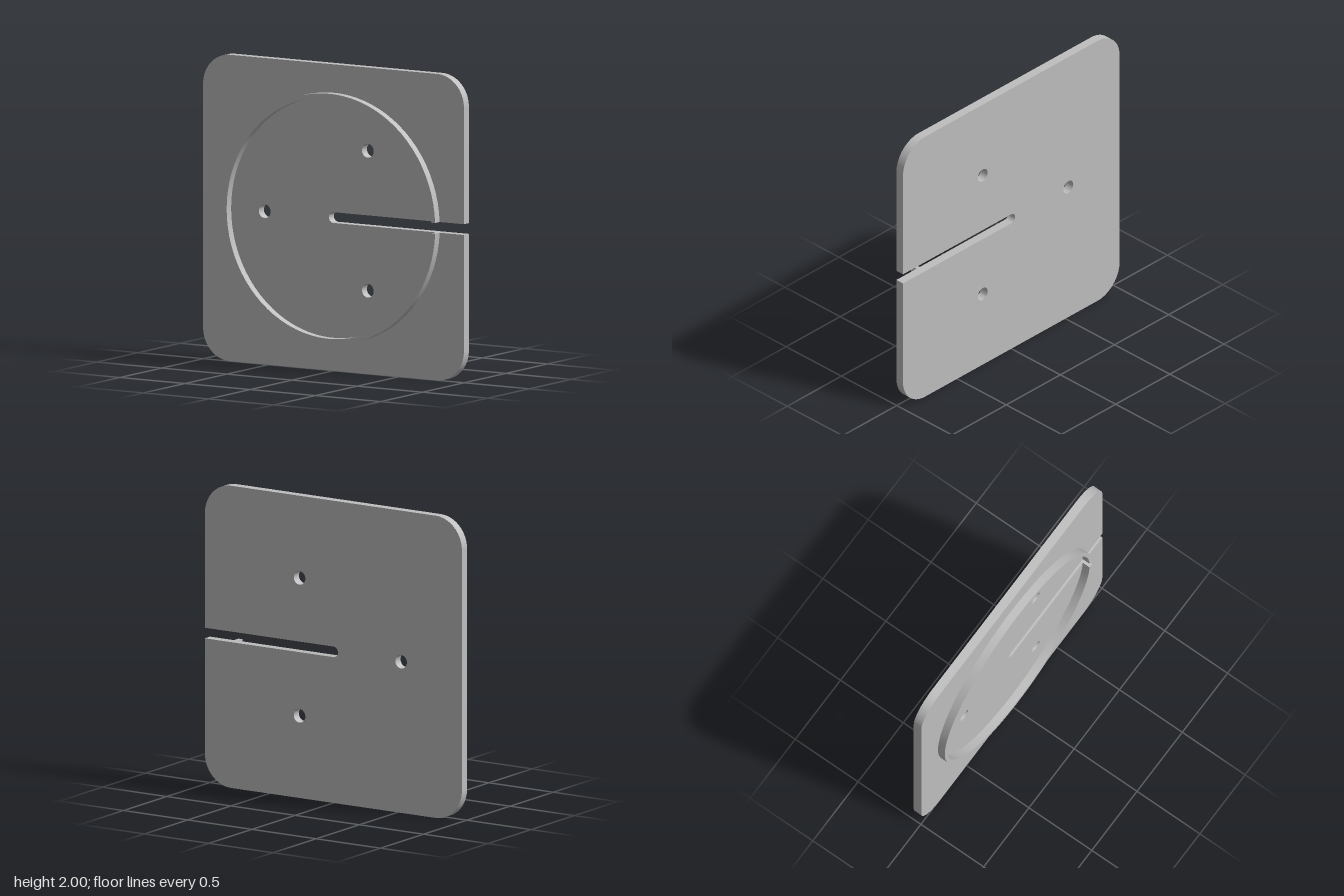
import * as THREE from 'three';
import { toCreasedNormals } from 'three/addons/utils/BufferGeometryUtils.js';

const BACK = -0.057, FACE = 0.003, FRONT = 0.057; // z levels
const SLOT = 0.035; // half width of the slot

function extrude(shape, z0, z1) {
  const g = new THREE.ExtrudeGeometry(shape, { depth: z1 - z0, bevelEnabled: false, curveSegments: 40 });
  g.translate(0, 1, z0);
  return toCreasedNormals(g, 0.5);
}

// Rounded square, open on the +x side by a slot that ends round at the centre
function plateShape() {
  const r = 0.205, c = 1 - r;
  const s = new THREE.Shape();
  s.moveTo(1, SLOT);
  s.lineTo(1, c);
  s.absarc(c, c, r, 0, Math.PI / 2, false);
  s.absarc(-c, c, r, Math.PI / 2, Math.PI, false);
  s.absarc(-c, -c, r, Math.PI, Math.PI * 1.5, false);
  s.absarc(c, -c, r, Math.PI * 1.5, Math.PI * 2, false);
  s.lineTo(1, -SLOT);
  s.lineTo(0, -SLOT);
  s.absarc(0, 0, SLOT, -Math.PI / 2, -Math.PI * 1.5, true);
  s.closePath();
  // Three screw holes, evenly spaced
  for (let i = 0; i < 3; i++) {
    const a = Math.PI / 3 + (i * Math.PI * 2) / 3;
    const hole = new THREE.Path();
    hole.absarc(0.527 * Math.cos(a), 0.527 * Math.sin(a), 0.045, 0, Math.PI * 2, true);
    s.holes.push(hole);
  }
  return s;
}

// Thin ring with a gap where the slot passes through
function rimShape(outer, inner) {
  const a = Math.asin(SLOT / outer), b = Math.asin(SLOT / inner);
  const s = new THREE.Shape();
  s.absarc(0, 0, outer, a, Math.PI * 2 - a, false);
  s.absarc(0, 0, inner, Math.PI * 2 - b, b, true);
  s.closePath();
  return s;
}

export function createModel() {
  const grey = new THREE.MeshStandardMaterial({ color: 0xbfbfbf });
  grey.name = 'grey';
  const group = new THREE.Group();
  group.name = 'slottedPlate';

  const plate = new THREE.Mesh(extrude(plateShape(), BACK, FACE), grey);
  plate.name = 'plate';
  const rim = new THREE.Mesh(extrude(rimShape(0.815, 0.785), FACE, FRONT), grey);
  rim.name = 'rim';
  group.add(plate, rim);
  return group;
}
